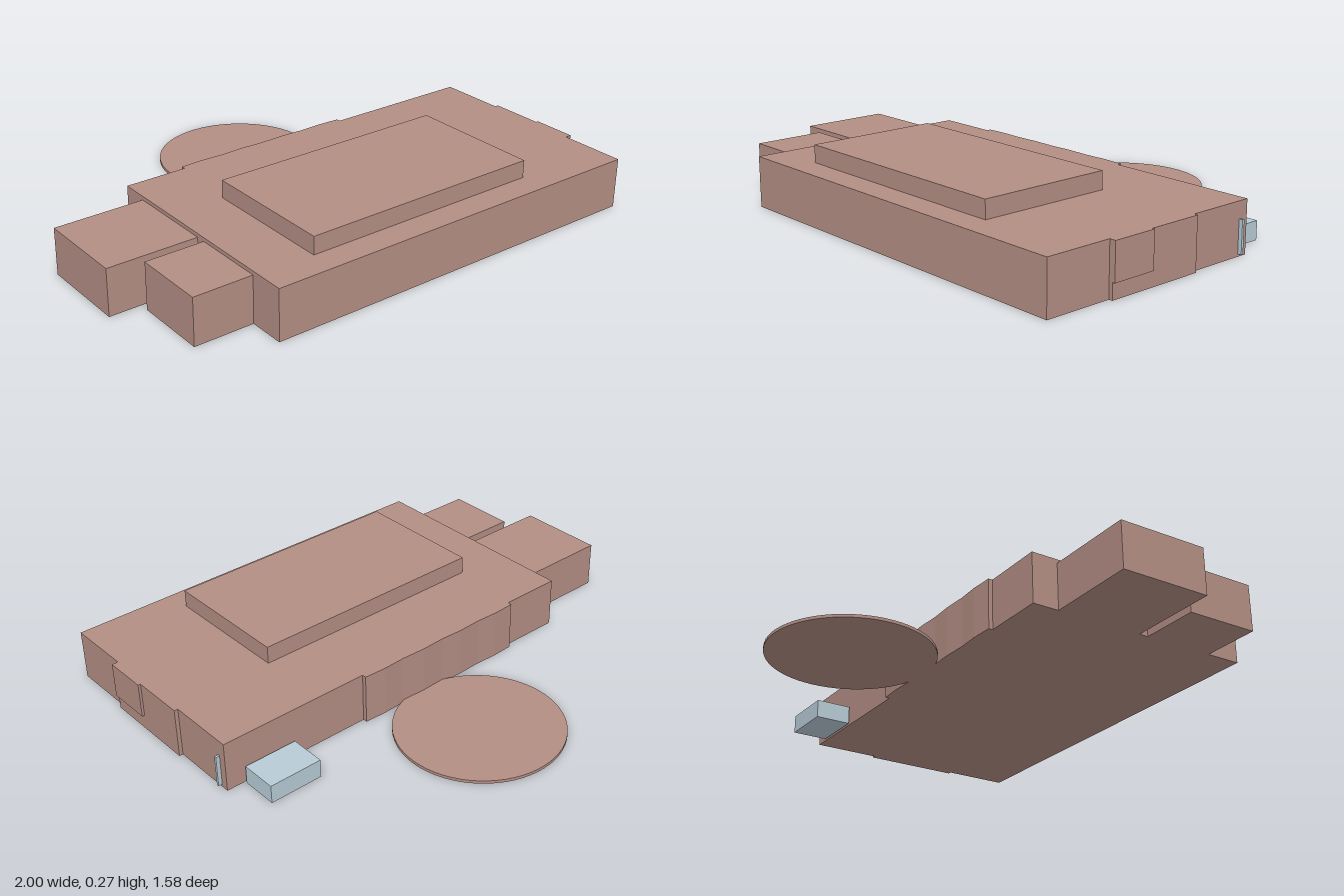
import * as THREE from 'three';

export function createModel() {
  const model = new THREE.Group();
  const clay = new THREE.MeshStandardMaterial({ color: 0xb38e84, flatShading: true });
  const glass = new THREE.MeshStandardMaterial({ color: 0xb8ccd6, flatShading: true });

  function add(name, geometry, material = clay) {
    const mesh = new THREE.Mesh(geometry, material);
    mesh.name = name;
    model.add(mesh);
    return mesh;
  }

  // Box given by its limits on each axis
  function block(name, [x0, x1], [y0, y1], [z0, z1], material) {
    const mesh = add(name, new THREE.BoxGeometry(x1 - x0, y1 - y0, z1 - z0), material);
    mesh.position.set((x0 + x1) / 2, (y0 + y1) / 2, (z0 + z1) / 2);
  }

  // Main mass and raised roof
  block('mainBlock', [-0.64, 0.975], [0, 0.2], [-0.145, 0.787]);
  block('roofBlock', [-0.417, 0.568], [0.2, 0.27], [0.145, 0.68]);

  // Side wings
  block('rearWing', [-1, -0.64], [0, 0.185], [-0.038, 0.32]);
  block('frontWing', [-0.875, -0.64], [0, 0.185], [0.357, 0.645]);

  // Shallow layers on the left wall
  block('wallPanel', [0.975, 0.99], [0, 0.2], [0.128, 0.522]);
  block('wallBox', [0.975, 1], [0.06, 0.2], [0.345, 0.522]);
  block('wallStrip', [0.975, 0.99], [0.01, 0.135], [-0.115, -0.105], glass);

  // Shallow back panel with slightly faceted face; shape y becomes -z
  const outline = new THREE.Shape();
  outline.moveTo(0.36, 0.14);
  [0.36, 0.27, 0.18, 0.08, -0.02, -0.11, -0.21, -0.3, -0.39].forEach((x, i) => {
    outline.lineTo(x, i % 2 ? 0.166 : 0.162);
  });
  outline.lineTo(-0.39, 0.14);
  const panel = new THREE.ExtrudeGeometry(outline, { depth: 0.2, bevelEnabled: false });
  add('backPanel', panel.rotateX(-Math.PI / 2));

  // Round pad and small box behind
  add('roundPad', new THREE.CylinderGeometry(0.322, 0.322, 0.012, 64)).position.set(0.075, 0.006, -0.468);
  block('smallBox', [0.685, 0.9], [0, 0.073], [-0.3, -0.155], glass);

  return model;
}
